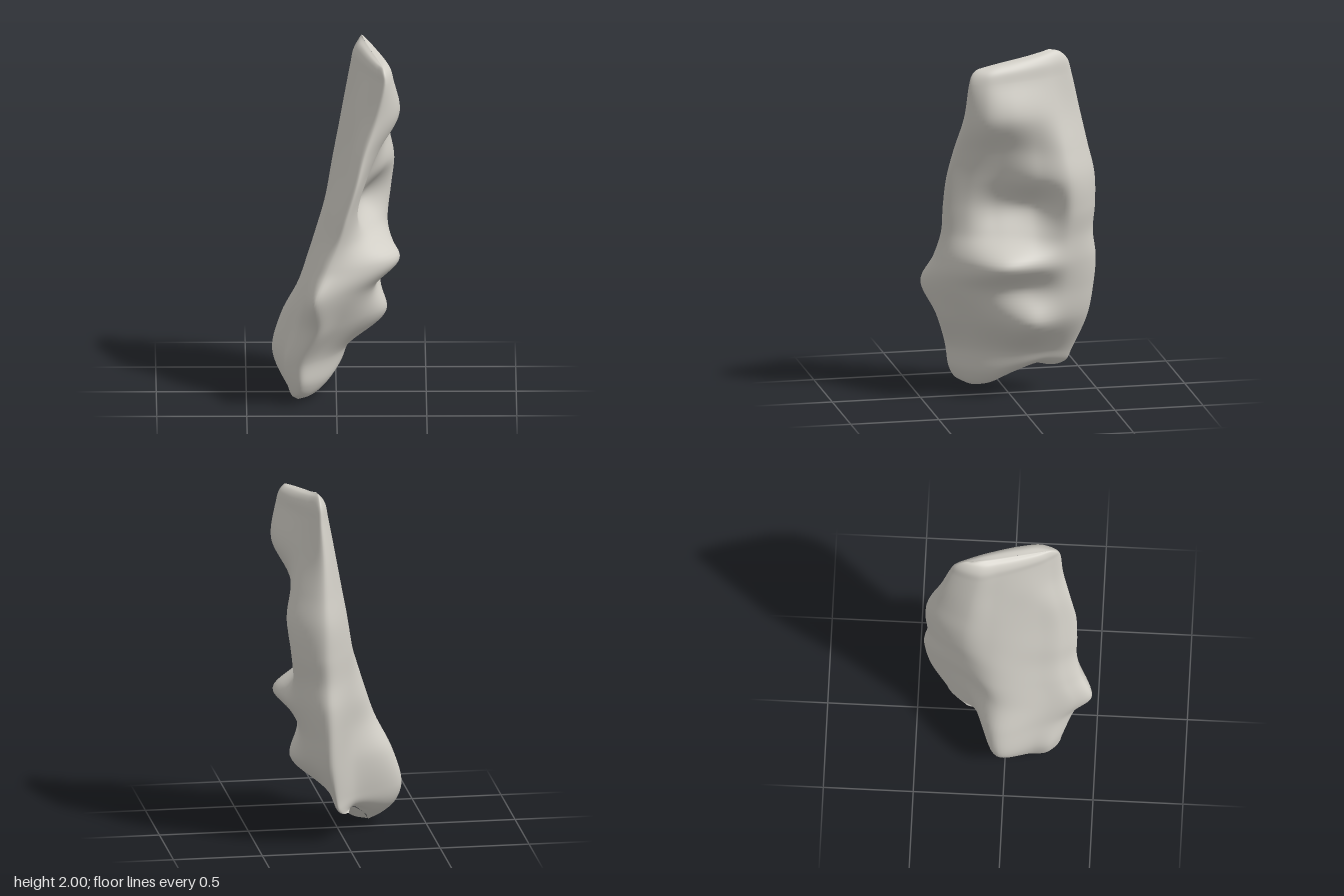
import * as THREE from 'three';

const stone = new THREE.MeshStandardMaterial({ color: 0xd1cec6 });
stone.name = 'pale grey stone';

// Heights of the main sections, with the back and front edge at each
const LEVELS = [1.85, 1.65, 1.45, 1.28, 1.1, 0.95, 0.8, 0.64, 0.45, 0.25];
const BACK_Z = [-0.33, -0.375, -0.42, -0.458, -0.462, -0.452, -0.47, -0.46, -0.425, -0.345];
const FRONT_Z = [0.28, 0.3, 0.345, 0.377, 0.385, 0.385, 0.415, 0.475, 0.39, 0.32];

// Rails running down the stone: w is the place from back (0) to front (1),
// x the sideways position at each level
const RAILS = [
  { w: 0, x: [0.14, 0.13, 0.13, 0.13, 0.13, 0.12, 0.115, 0.11, 0.1, 0.06] }, // back edge
  { w: 0.25, x: [0.08, 0.045, 0.012, -0.015, -0.035, -0.045, -0.05, -0.055, -0.06, -0.08] }, // smooth outer face
  { w: 0.45, x: [0.11, 0.07, 0.025, -0.015, -0.06, -0.105, -0.15, -0.205, -0.3, -0.352] },
  { w: 0.75, x: [0.175, 0.12, 0.075, 0.03, -0.03, -0.075, -0.13, -0.185, -0.245, -0.295] },
  { w: 0.9, x: [0.22, 0.175, 0.105, 0.055, -0.005, -0.05, -0.11, -0.165, -0.2, -0.275] },
  { w: 1, x: [0.27, 0.225, 0.155, 0.11, 0.055, 0.01, -0.055, -0.12, -0.11, -0.19] }, // front edge
  { w: 0.85, x: [0.315, 0.335, 0.23, 0.16, 0.115, 0.12, 0.18, 0.07, 0.01, -0.09] }, // knobbly inner face
  { w: 0.65, x: [0.3, 0.35, 0.25, 0.185, 0.11, 0.18, 0.345, 0.2, 0.16, 0.0] },
  { w: 0.42, x: [0.26, 0.31, 0.275, 0.275, 0.15, 0.23, 0.33, 0.23, 0.28, 0.06] },
  { w: 0.2, x: [0.21, 0.245, 0.29, 0.32, 0.305, 0.285, 0.275, 0.24, 0.21, 0.07] },
];

// Ridge lines closing the top and the two-lobed foot, from back to front
const ridge = (points) => new THREE.CatmullRomCurve3(points.map((p) => new THREE.Vector3(...p)));
const TOP = ridge([[0.145, 2.0, -0.2], [0.17, 1.98, -0.1], [0.21, 1.96, 0.05], [0.25, 1.94, 0.2]]);
const FOOT = ridge([[-0.03, 0.145, -0.22], [-0.07, 0.15, -0.1], [-0.17, 0.06, 0.02], [-0.2, 0.0, 0.15], [-0.23, 0.03, 0.21]]);

// Two shoulder points that round the stone over from a rim towards a ridge
function shoulders(end, rim) {
  return [[0.45, 0.1], [0.8, 0.4]].map(([across, down]) => {
    const p = end.clone().lerp(rim, across);
    p.y = THREE.MathUtils.lerp(end.y, rim.y, down);
    return p;
  });
}

function railCurve({ w, x }) {
  const body = LEVELS.map((y, i) =>
    new THREE.Vector3(x[i], y, THREE.MathUtils.lerp(BACK_Z[i], FRONT_Z[i], w)));
  const top = TOP.getPoint(w), foot = FOOT.getPoint(w);
  return new THREE.CatmullRomCurve3([
    top, ...shoulders(top, body[0]), ...body,
    ...shoulders(foot, body[body.length - 1]).reverse(), foot,
  ]);
}

// Loft closed smooth rings through the rails
function loft(rails, rows, cols) {
  const positions = [], index = [];
  for (let j = 0; j <= rows; j++) {
    const ring = new THREE.CatmullRomCurve3(rails.map((r) => r.getPoint(j / rows)), true);
    for (let i = 0; i < cols; i++) {
      const p = ring.getPoint(i / cols);
      positions.push(p.x, p.y, p.z);
      if (j === rows) continue;
      const a = j * cols + i, c = j * cols + (i + 1) % cols;
      index.push(a, a + cols, c, a + cols, c + cols, c);
    }
  }
  const geometry = new THREE.BufferGeometry();
  geometry.setAttribute('position', new THREE.Float32BufferAttribute(positions, 3));
  geometry.setIndex(index);
  geometry.computeVertexNormals();
  // Soften the seams along both ridges
  for (let i = 0; i < cols; i++) {
    geometry.attributes.normal.setXYZ(i, 0, 1, 0);
    geometry.attributes.normal.setXYZ(rows * cols + i, 0, -1, 0);
  }
  return geometry;
}

export function createModel() {
  const group = new THREE.Group();
  group.name = 'standingStone';
  const rock = new THREE.Mesh(loft(RAILS.map(railCurve), 120, 100), stone);
  rock.name = 'rock';
  group.add(rock);
  return group;
}
